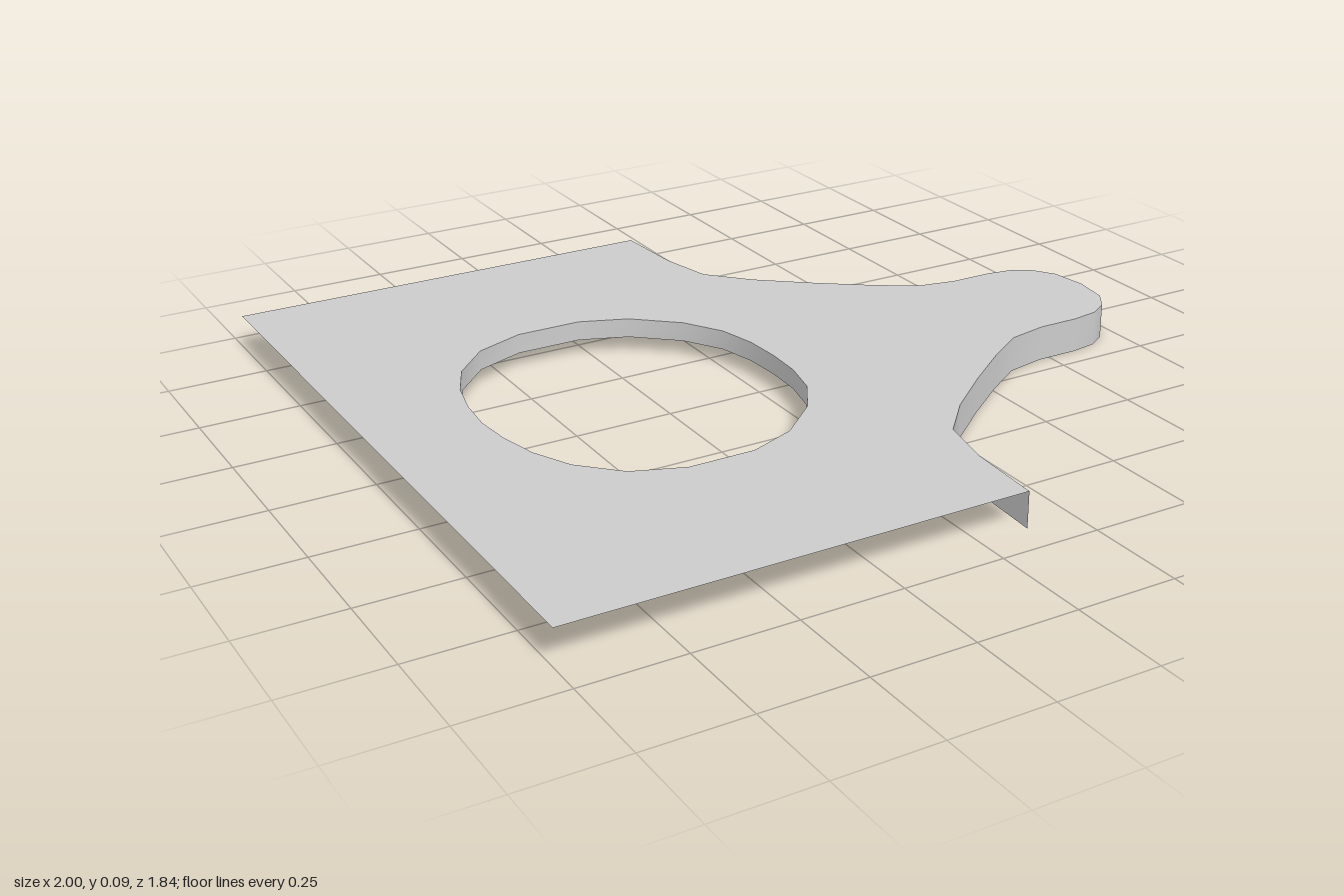
import * as THREE from 'three';
import { mergeVertices } from 'three/addons/utils/BufferGeometryUtils.js';

const TOP = 0.09;
const material = new THREE.MeshStandardMaterial({ color: 0xcccccc, side: THREE.DoubleSide });

// Half outlines as [x, z], completed by mirroring across z = 0
const halfEdge = [
  [0.125, 0.918], [0.137, 0.72], [0.168, 0.578], [0.262, 0.475], [0.39, 0.37], [0.51, 0.28], [0.615, 0.211],
  [0.72, 0.19], [0.83, 0.19], [0.9, 0.179], [0.95, 0.148], [0.986, 0.095], [1, 0],
];
const halfHole = [
  [-0.737, 0], [-0.728, -0.1], [-0.705, -0.2], [-0.658, -0.3], [-0.568, -0.393], [-0.442, -0.442],
  [-0.275, -0.442], [-0.155, -0.395], [-0.048, -0.3], [0.012, -0.2], [0.035, -0.1], [0.04, 0],
];

function mirrored(half) {
  const other = half.slice(0, -1).reverse().map(([x, z]) => [x, -z]);
  return [...half, ...other].map(([x, z]) => new THREE.Vector2(x, z));
}

// Upright ribbon that follows a path on the ground, with smooth normals
function wall(name, path, bottom) {
  const n = path.length;
  const ribbon = new THREE.PlaneGeometry(1, 1, n - 1, 1);
  const pos = ribbon.attributes.position;
  for (let i = 0; i < pos.count; i++) {
    const p = path[i % n];
    pos.setXYZ(i, p.x, i < n ? TOP : bottom, p.y);
  }
  ribbon.deleteAttribute('uv');
  ribbon.deleteAttribute('normal');
  const geometry = mergeVertices(ribbon);
  geometry.computeVertexNormals();
  const mesh = new THREE.Mesh(geometry, material);
  mesh.name = name;
  return mesh;
}

export function createModel() {
  const group = new THREE.Group();
  group.name = 'tabbedPlate';
  const edge = mirrored(halfEdge);
  const hole = mirrored(halfHole);

  // Thin top sheet with the round opening
  const shape = new THREE.Shape([...edge, new THREE.Vector2(-1, -0.918), new THREE.Vector2(-1, 0.918)]);
  shape.holes.push(new THREE.Path(hole.slice(0, -1)));
  const sheet = new THREE.Mesh(new THREE.ShapeGeometry(shape).rotateX(-Math.PI / 2).translate(0, TOP, 0), material);
  sheet.name = 'topSheet';
  group.add(sheet);

  // Skirt along the curved edge and a shallower lip around the opening
  group.add(wall('edgeSkirt', edge, 0));
  group.add(wall('openingLip', hole, 0.04));
  return group;
}
